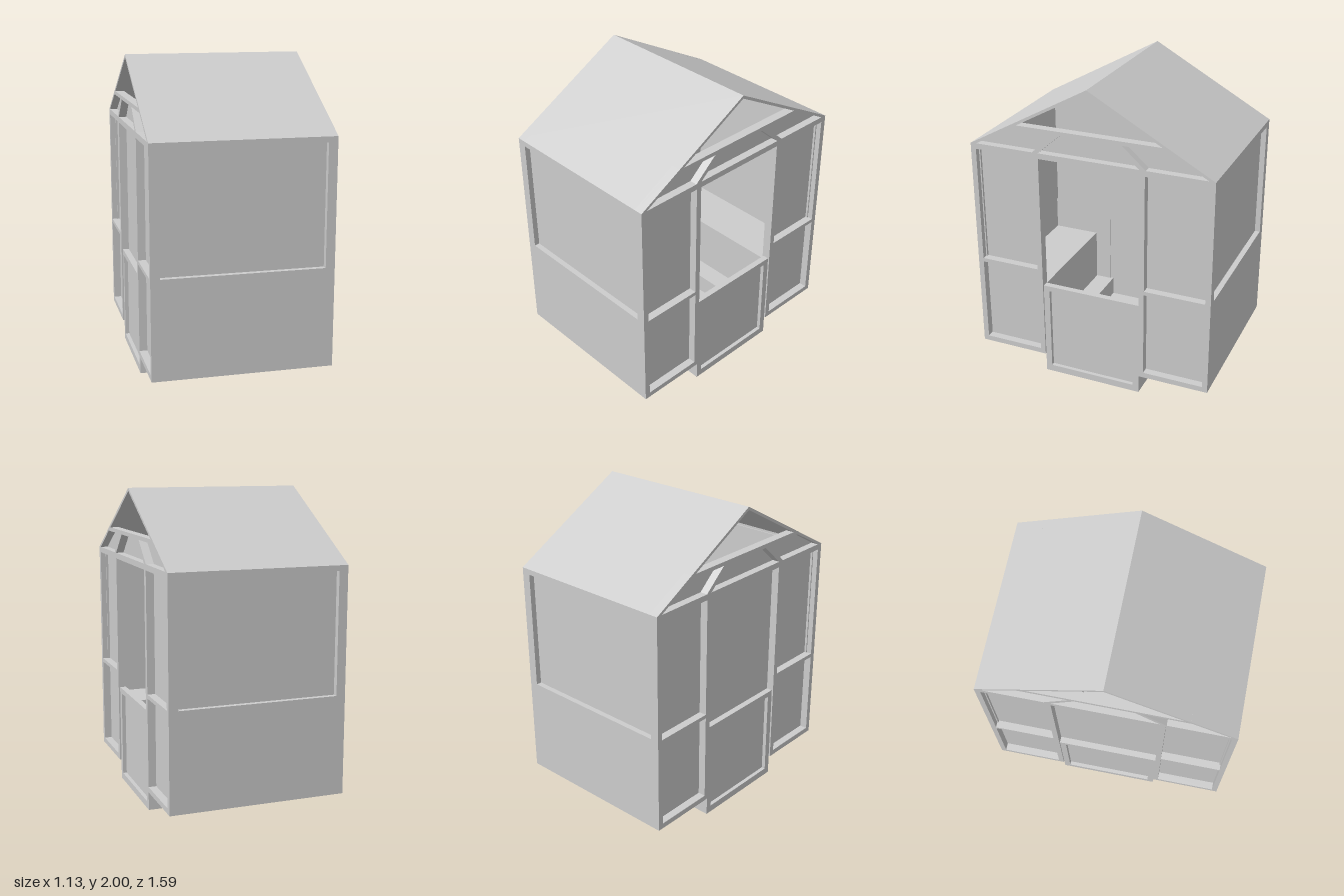
import * as THREE from 'three';

const HX = 0.565, HZ = 0.795;           // half width and half depth of the cabin
const BASE = 0.13, EAVE = 1.56, RIDGE = 2.0;

const rect = (x0, y0, x1, y1) => [[x0, y0], [x1, y0], [x1, y1], [x0, y1]];
const mirror = (pts) => pts.map(([x, y]) => [-x, y]).reverse();

function plate(outline, holes, depth) {
  const toV = (pts) => pts.map(([x, y]) => new THREE.Vector2(x, y));
  const shape = new THREE.Shape(toV(outline));
  holes.forEach((h) => shape.holes.push(new THREE.Path(toV(h))));
  return new THREE.ExtrudeGeometry(shape, { depth, bevelEnabled: false });
}

export function createModel() {
  const group = new THREE.Group();
  const grey = new THREE.MeshStandardMaterial({ color: 0xcccccc });
  grey.name = 'light grey';

  const add = (name, geometry) => {
    const mesh = new THREE.Mesh(geometry, grey);
    mesh.name = name;
    group.add(mesh);
  };
  const box = (name, x0, x1, y0, y1, z0, z1) => {
    const g = new THREE.BoxGeometry(x1 - x0, y1 - y0, z1 - z0);
    add(name, g.translate((x0 + x1) / 2, (y0 + y1) / 2, (z0 + z1) / 2));
  };
  // Plate drawn in z and y, starting at x0 and growing towards +x
  const sidePlate = (name, outline, holes, x0, depth) =>
    add(name, plate(outline, holes, depth).rotateY(-Math.PI / 2).translate(x0 + depth, 0, 0));

  // Roof: thin folded sheet
  sidePlate('roof', [[HZ, EAVE], [0, RIDGE], [-HZ, EAVE], [-0.76, EAVE], [0, 1.98], [0.76, EAVE]],
    [], -HX, 2 * HX);

  // Side frames, panes and half doors
  const outline = (notchTop) => [
    [-HZ, BASE], [-0.33, BASE], [-0.33, notchTop], [0.33, notchTop], [0.33, BASE], [HZ, BASE],
    [HZ, EAVE], [0.506, 1.72], [-0.506, 1.72], [-HZ, EAVE],
  ];
  const halfHoles = [
    rect(0.365, 0.165, 0.76, 0.735),
    rect(0.365, 0.76, 0.76, 1.525),
    [[0.37, 1.562], [0.755, 1.562], [0.52, 1.695], [0.22, 1.695]],
  ];
  const frameHoles = [
    ...halfHoles, ...halfHoles.map(mirror),
    [[-0.33, 1.562], [0.33, 1.562], [0.18, 1.695], [-0.18, 1.695]],
  ];
  for (const s of [1, -1]) {
    const side = s > 0 ? 'left' : 'right';
    const at = (inner, depth) => (s > 0 ? inner : -inner - depth);
    sidePlate(side + 'SideFrame', outline(1.525), frameHoles, at(0.515, 0.05), 0.05);
    // the left doorway stays open above its half door
    sidePlate(side + 'SidePanes', outline(s > 0 ? 1.525 : 0.64), [], at(0.507, 0.008), 0.008);
    sidePlate(side + 'DoorFrame', rect(-0.33, 0, 0.33, 0.645), [rect(-0.29, 0.045, 0.29, 0.61)],
      at(0.53, 0.025), 0.025);
    sidePlate(side + 'DoorPanel', rect(-0.33, 0, 0.33, 0.645), [], at(0.515, 0.015), 0.015);
  }

  // End walls with a recessed window, and a bench inside each
  for (const s of [1, -1]) {
    const end = s > 0 ? 'front' : 'back';
    const wall = plate(rect(-HX, BASE, HX, EAVE), [rect(-0.517, 0.76, 0.517, 1.525)], 0.035);
    add(end + 'Wall', wall.translate(0, 0, s > 0 ? HZ - 0.035 : -HZ));
    const zs = (a, b) => (s > 0 ? [a, b] : [-b, -a]);
    box(end + 'Window', -0.53, 0.53, 0.74, 1.545, ...zs(HZ - 0.043, HZ - 0.035));
    box(end + 'Bench', -0.507, 0.507, BASE + 0.02, 0.51, ...zs(0.44, HZ - 0.035));
    box(end + 'Floor', -HX, HX, BASE, BASE + 0.02, ...zs(0.33, HZ));
    box(end + 'StepRiser', -0.515, 0.515, 0, BASE + 0.02, ...zs(0.31, 0.33));
  }

  // Lowered centre floor between the doors
  box('centreFloor', -0.515, 0.515, 0, 0.02, -0.31, 0.31);

  return group;
}
